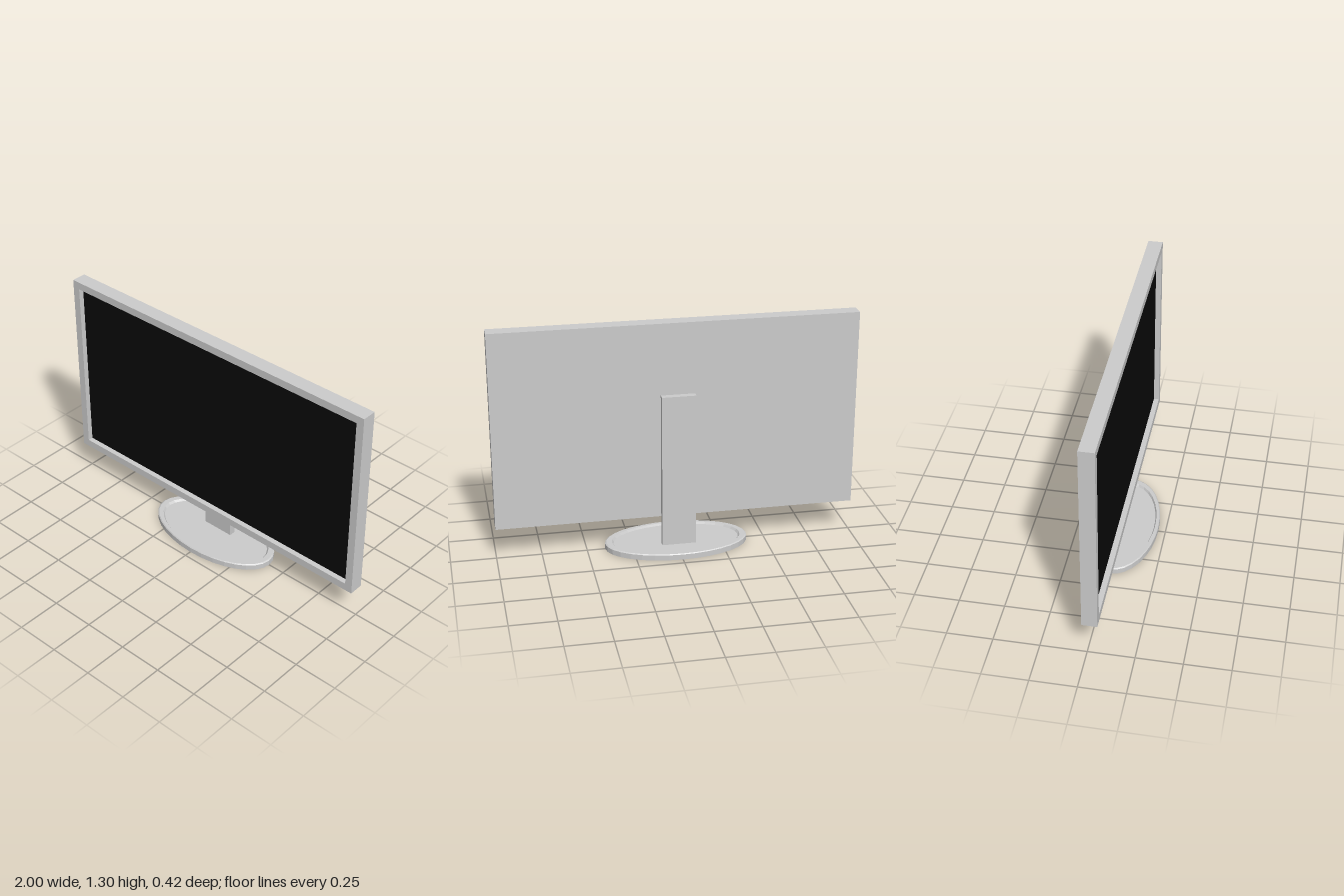
import * as THREE from 'three';

const grey = new THREE.MeshStandardMaterial({ color: 0xcccccc });
const greyFlat = new THREE.MeshStandardMaterial({ color: 0xcccccc, flatShading: true });
const black = new THREE.MeshStandardMaterial({ color: 0x0a0a0a });

function part(name, geometry, material) {
  const mesh = new THREE.Mesh(geometry, material);
  mesh.name = name;
  return mesh;
}

// Box given by its lower and upper corners
function box(name, [x0, y0, z0], [x1, y1, z1], material = grey) {
  const mesh = part(name, new THREE.BoxGeometry(x1 - x0, y1 - y0, z1 - z0), material);
  mesh.position.set((x0 + x1) / 2, (y0 + y1) / 2, (z0 + z1) / 2);
  return mesh;
}

// Closed rectangle outline, usable as a shape or a hole
function rectangle(PathType, x, y0, y1) {
  const path = new PathType();
  path.moveTo(-x, y0);
  path.lineTo(x, y0);
  path.lineTo(x, y1);
  path.lineTo(-x, y1);
  path.closePath();
  return path;
}

export function createModel() {
  const model = new THREE.Group();
  model.name = 'monitor';
  const back = -0.028, front = 0.055, screenZ = 0.025;

  // Housing: solid back panel with a raised bezel around the recessed screen
  const housing = new THREE.Group();
  housing.name = 'housing';
  housing.add(box('backPanel', [-1, 0.185, back], [1, 1.297, screenZ - 0.002]));
  const outline = rectangle(THREE.Shape, 1, 0.185, 1.297);
  outline.holes.push(rectangle(THREE.Path, 0.957, 0.228, 1.254));
  const bezel = part('bezel',
    new THREE.ExtrudeGeometry(outline, { depth: front - screenZ + 0.002, bevelEnabled: false }), grey);
  bezel.position.z = screenZ - 0.002;
  housing.add(bezel);
  const screen = part('screen', new THREE.PlaneGeometry(1.914, 1.026), black);
  screen.position.set(0, 0.741, screenZ);
  housing.add(screen);
  model.add(housing);

  // Upright behind the housing, standing on the base
  model.add(box('standColumn', [-0.1, 0.02, -0.064], [0.088, 0.896, back]));

  // Oval base: bevelled rim around a shallow dish
  const profile = [
    [0, 0], [0.4, 0], [0.4, 0.03], [0.392, 0.035],
    [0.362, 0.035], [0.352, 0.023], [0, 0.023],
  ].map(([r, y]) => new THREE.Vector2(r, y));
  const base = part('base', new THREE.LatheGeometry(profile, 32), greyFlat);
  base.scale.z = 0.525;
  model.add(base);

  return model;
}
